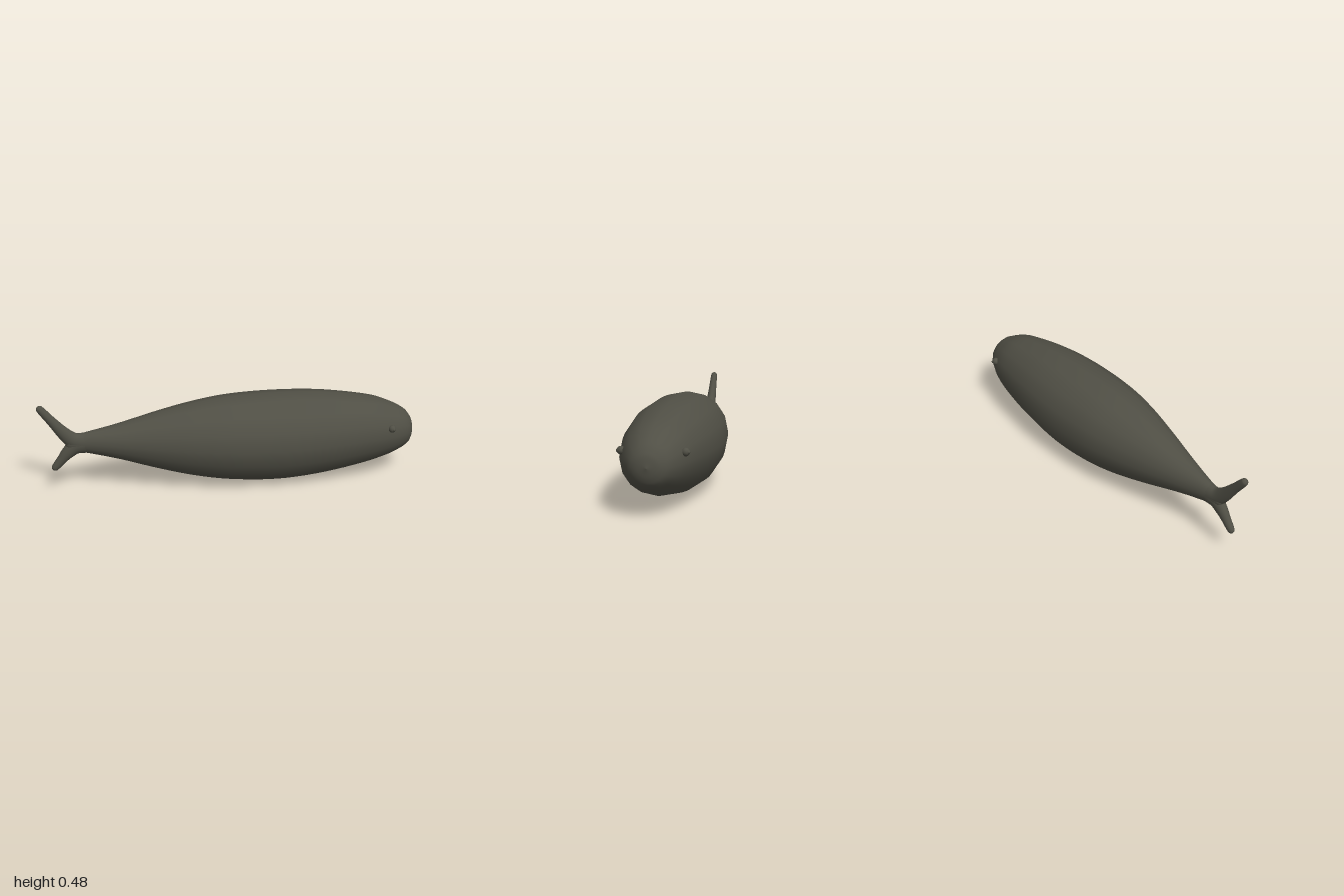
import * as THREE from 'three';

const skin = new THREE.MeshStandardMaterial({ color: 0x504f45 });
skin.name = 'dark olive skin';

// Smooth closed loft; each section is [x, y, in-plane radius, z radius].
function loft(name, sections, steps, sides = 16) {
  const path = new THREE.CatmullRomCurve3(
    sections.map(([x, y]) => new THREE.Vector3(x, y, 0)), false, 'catmullrom', 0.5);
  const radii = new THREE.CatmullRomCurve3(
    sections.map((s) => new THREE.Vector3(s[2], s[3], 0)), false, 'catmullrom', 0.5);
  const positions = [];
  const index = [];
  for (let i = 0; i <= steps; i++) {
    const p = path.getPoint(i / steps);
    const t = path.getTangent(i / steps);
    const r = radii.getPoint(i / steps);
    for (let j = 0; j < sides; j++) {
      const a = (j / sides) * Math.PI * 2;
      const n = Math.cos(a) * Math.max(r.x, 0.0004);
      positions.push(p.x - t.y * n, p.y + t.x * n, Math.sin(a) * Math.max(r.y, 0.0004));
      if (i < steps) {
        const k = (j + 1) % sides;
        const [a0, a1, b0, b1] = [i * sides + j, i * sides + k, (i + 1) * sides + j, (i + 1) * sides + k];
        index.push(a0, a1, b0, a1, b1, b0);
      }
    }
  }
  const geometry = new THREE.BufferGeometry();
  geometry.setAttribute('position', new THREE.Float32BufferAttribute(positions, 3));
  geometry.setIndex(index);
  geometry.computeVertexNormals();
  const mesh = new THREE.Mesh(geometry, skin);
  mesh.name = name;
  return mesh;
}

export function createModel() {
  const model = new THREE.Group();
  model.name = 'fish';

  // Streamlined body from tail root to blunt nose
  model.add(loft('body', [
    [-0.86, 0.336, 0, 0],
    [-0.84, 0.336, 0.035, 0.026],
    [-0.74, 0.336, 0.059, 0.042],
    [-0.58, 0.332, 0.096, 0.086],
    [-0.37, 0.326, 0.155, 0.146],
    [-0.18, 0.321, 0.199, 0.195],
    [0.01, 0.317, 0.227, 0.226],
    [0.25, 0.3125, 0.2375, 0.2375],
    [0.49, 0.316, 0.223, 0.223],
    [0.73, 0.318, 0.185, 0.185],
    [0.86, 0.313, 0.148, 0.148],
    [0.944, 0.31, 0.107, 0.107],
    [0.983, 0.31, 0.062, 0.062],
    [0.998, 0.31, 0, 0],
  ], 78));

  // Forked tail, both lobes blending into the tail root
  model.add(loft('upperTailLobe', [
    [-0.74, 0.335, 0.056, 0.04],
    [-0.81, 0.348, 0.045, 0.032],
    [-0.862, 0.392, 0.035, 0.027],
    [-0.92, 0.463, 0.025, 0.022],
    [-0.973, 0.53, 0.02, 0.018],
    [-0.985, 0.545, 0.013, 0.012],
    [-0.989, 0.55, 0, 0],
  ], 36));
  model.add(loft('lowerTailLobe', [
    [-0.74, 0.335, 0.056, 0.04],
    [-0.805, 0.32, 0.044, 0.032],
    [-0.85, 0.284, 0.034, 0.027],
    [-0.88, 0.25, 0.026, 0.022],
    [-0.915, 0.209, 0.02, 0.018],
    [-0.926, 0.196, 0.013, 0.012],
    [-0.93, 0.191, 0, 0],
  ], 36));

  // Small bulging eyes with a raised pupil
  for (const side of [1, -1]) {
    const eye = new THREE.Group();
    eye.name = side > 0 ? 'frontEye' : 'backEye';
    const ball = new THREE.Mesh(new THREE.SphereGeometry(0.02, 14, 10), skin);
    ball.name = 'eyeball';
    ball.position.set(0.843, 0.364, side * 0.15);
    const pupil = new THREE.Mesh(new THREE.SphereGeometry(0.01, 12, 8), skin);
    pupil.name = 'pupil';
    pupil.position.set(0.848, 0.364, side * 0.163);
    eye.add(ball, pupil);
    model.add(eye);
  }
  return model;
}
